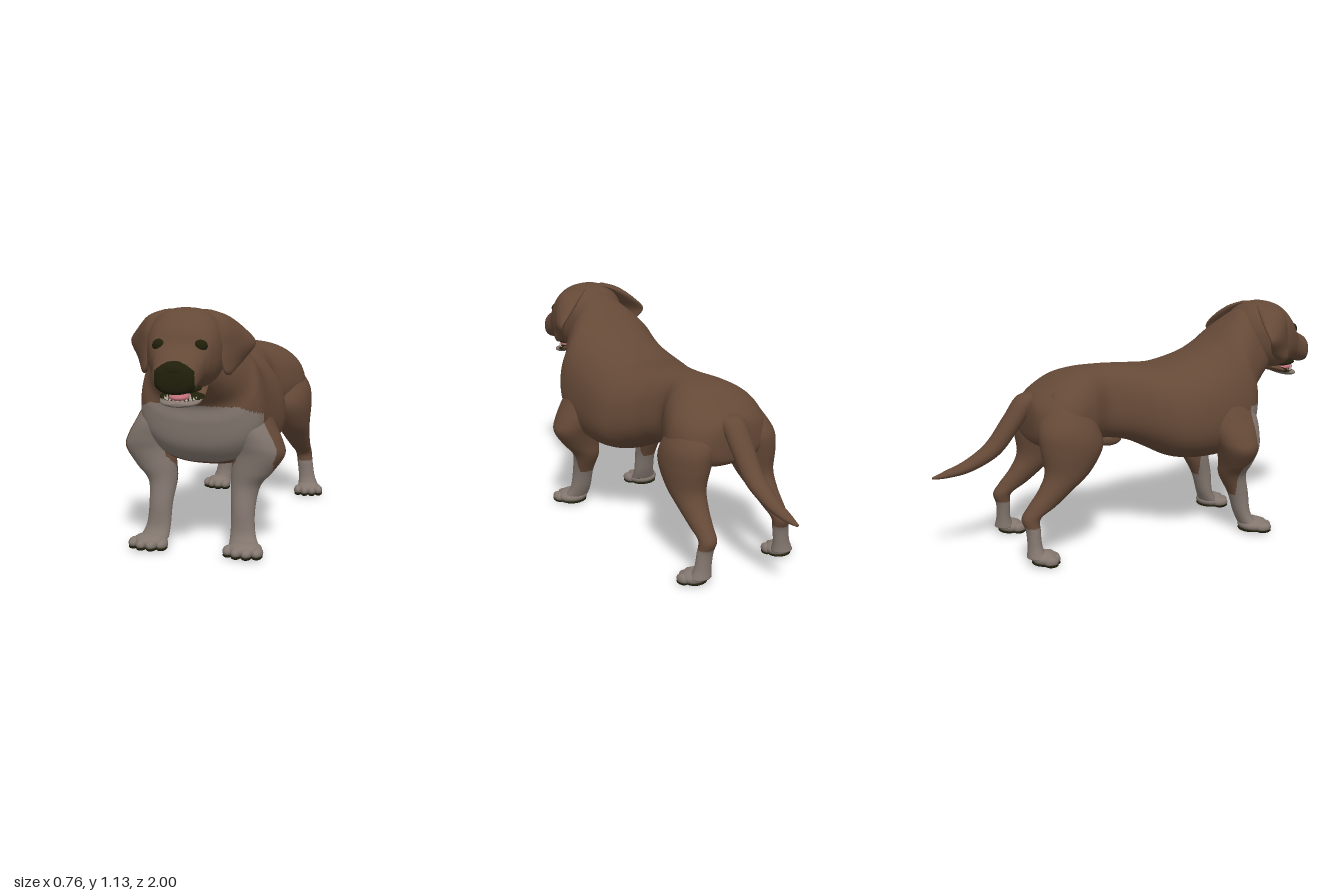
import * as THREE from 'three';

const paint = (name, color) => {
  const m = new THREE.MeshStandardMaterial({ color });
  m.name = name;
  return m;
};

// Smoothly interpolated rows of numbers
function smoothRows(rows, sub) {
  const out = [], last = rows.length - 1;
  for (let i = 0; i < last; i++) {
    const a = rows[Math.max(i - 1, 0)], b = rows[i], c = rows[i + 1], d = rows[Math.min(i + 2, last)];
    for (let s = 0; s < sub; s++) {
      const t = s / sub;
      out.push(b.map((v, k) => v + 0.5 * t * (c[k] - a[k] + t * (2 * a[k] - 5 * v + 4 * c[k] - d[k] + t * (3 * (v - c[k]) + d[k] - a[k])))));
    }
  }
  out.push(rows[last]);
  return out;
}

// Closed skin over rings; each row is [centre xyz, half axis xyz, half axis xyz]; egg narrows the ring's upper side
function loft(name, rows, mats, pick = () => 0, { n = 36, sub = 6, power = 2, egg = 0 } = {}) {
  const rings = smoothRows(rows, sub), pos = [], tris = [];
  const bend = (v) => Math.sign(v) * Math.abs(v) ** (2 / power);
  for (const r of rings) for (let j = 0; j < n; j++) {
    const s = bend(Math.sin(j / n * 2 * Math.PI)), c = bend(Math.cos(j / n * 2 * Math.PI)) * (1 - egg * s);
    for (let k = 0; k < 3; k++) pos.push(r[k] + r[3 + k] * c + r[6 + k] * s);
  }
  const end = rings.length - 1, first = rings.length * n;
  pos.push(...rings[0].slice(0, 3), ...rings[end].slice(0, 3));
  for (let j = 0; j < n; j++) {
    const q = (j + 1) % n;
    for (let i = 0; i < end; i++) {
      const a = i * n + j, b = i * n + q;
      tris.push([a, b, b + n], [a, b + n, a + n]);
    }
    tris.push([first, q, j], [first + 1, end * n + j, end * n + q]);
  }
  const at = (i) => new THREE.Vector3().fromArray(pos, i * 3);
  // Turn the skin outward whichever way the rings run
  const volume = tris.reduce((v, t) => v + at(t[0]).dot(at(t[1]).cross(at(t[2]))), 0);
  const lists = mats.map(() => []);
  for (const [a, b, c] of tris) {
    const mid = at(a).add(at(b)).add(at(c)).divideScalar(3);
    lists[pick(mid)].push(...(volume < 0 ? [a, c, b] : [a, b, c]));
  }
  const g = new THREE.BufferGeometry();
  g.setAttribute('position', new THREE.Float32BufferAttribute(pos, 3));
  g.setIndex(lists.flat());
  let start = 0;
  lists.forEach((l, i) => { g.addGroup(start, l.length, i); start += l.length; });
  g.computeVertexNormals();
  const mesh = new THREE.Mesh(g, mats);
  mesh.name = name;
  return mesh;
}

// Row makers: ring between a top and a bottom point, upright ring, level ring
const span = ([ty, tz, by, bz, rx]) => [0.01, (ty + by) / 2, (tz + bz) / 2, rx, 0, 0, 0, (ty - by) / 2, (tz - bz) / 2];
const across = ([z, top, bottom, rx]) => [0, (top + bottom) / 2, z, rx, 0, 0, 0, (top - bottom) / 2, 0];
const level = (side) => ([x, y, z, rx, rz]) => [x * side, y, z, rx, 0, 0, 0, 0, rz];

function blob(name, mat, [x, y, z], [rx, ry, rz]) {
  const m = new THREE.Mesh(new THREE.SphereGeometry(1, 24, 16), mat);
  m.name = name;
  m.position.set(x, y, z);
  m.scale.set(rx, ry, rz);
  return m;
}

export function createModel() {
  const brown = paint('brown coat', 0x654937), pale = paint('pale coat', 0x83776f);
  const dark = paint('dark skin', 0x201f0b), pink = paint('tongue pink', 0xc0707a), ivory = paint('teeth ivory', 0xb5aca0);
  const coat = [brown, pale];
  const dog = new THREE.Group();
  dog.name = 'dog';

  // Torso flowing into the neck, with pale chest; rows are [top y, top z, bottom y, bottom z, half width]
  const onChest = (p) => p.z > 0.515 && p.y > 0.41 && p.y < 0.685 - Math.max(0, Math.abs(p.x) - 0.21) * 0.4;
  dog.add(loft('torsoAndNeck', [
    [0.67, -0.55, 0.6, -0.55, 0.05], [0.735, -0.535, 0.54, -0.54, 0.15], [0.785, -0.48, 0.51, -0.49, 0.225], [0.842, -0.38, 0.5, -0.38, 0.255],
    [0.866, -0.28, 0.51, -0.28, 0.22], [0.873, -0.17, 0.515, -0.17, 0.156], [0.868, -0.05, 0.495, -0.05, 0.182], [0.86, 0.05, 0.45, 0.05, 0.24],
    [0.857, 0.13, 0.4, 0.15, 0.288], [0.868, 0.2, 0.38, 0.25, 0.302], [0.888, 0.275, 0.376, 0.35, 0.3], [0.91, 0.335, 0.385, 0.44, 0.296],
    [0.935, 0.38, 0.415, 0.525, 0.292], [0.96, 0.42, 0.49, 0.59, 0.285], [0.987, 0.455, 0.6, 0.612, 0.267],
    [1.02, 0.495, 0.68, 0.615, 0.232], [1.055, 0.54, 0.735, 0.667, 0.19], [1.083, 0.58, 0.78, 0.722, 0.15], [1.1, 0.64, 0.81, 0.75, 0.125],
  ].map(span), coat, (p) => (onChest(p) ? 1 : 0), { n: 120, sub: 12, power: 2.4, egg: 0.1 }));

  dog.add(blob('bellySheath', brown, [0, 0.495, -0.12], [0.026, 0.032, 0.065]));

  // Tail sweeping down and back; rows are [x, y, z, half width, half depth, tilt]
  dog.add(loft('tail', [
    [0.02, 0.735, -0.45, 0.05, 0.03, -0.6], [0.025, 0.72, -0.535, 0.06, 0.048, -0.85], [0.028, 0.625, -0.61, 0.056, 0.046, -0.95],
    [0.03, 0.505, -0.705, 0.048, 0.042, -0.8], [0.03, 0.435, -0.825, 0.037, 0.03, -0.4],
    [0.032, 0.405, -0.93, 0.025, 0.018, -0.2], [0.033, 0.393, -1, 0.008, 0.005, -0.1],
  ].map(([x, y, z, rx, r, a]) => [x, y, z, rx, 0, 0, 0, r * Math.cos(a), r * Math.sin(a)]), [brown], undefined, { n: 24 }));

  // Paw with four toes and dark pads
  const makePaw = (name, size) => {
    const paw = new THREE.Group();
    paw.name = name;
    paw.add(blob('pawTop', pale, [0, 0.034, -0.005], [0.082, 0.034, 0.075]));
    paw.add(blob('mainPad', dark, [0, 0.014, -0.012], [0.074, 0.014, 0.068]));
    for (const dx of [-0.068, -0.024, 0.024, 0.068]) {
      const z = 0.054 - Math.abs(dx) * 0.45;
      paw.add(blob('toe', pale, [dx, 0.029, z], [0.027, 0.024, 0.042]));
      paw.add(blob('toePad', dark, [dx, 0.013, z + 0.002], [0.025, 0.013, 0.039]));
    }
    paw.scale.set(size, 1, size);
    return paw;
  };

  for (const side of [1, -1]) {
    const tag = side > 0 ? 'left' : 'right';
    // Front leg, pale on its front and below
    dog.add(loft(tag + 'FrontLeg', [
      [0.16, 0.78, 0.42, 0.05, 0.06], [0.19, 0.69, 0.43, 0.08, 0.1], [0.222, 0.6, 0.44, 0.095, 0.13], [0.256, 0.51, 0.45, 0.11, 0.115],
      [0.262, 0.45, 0.455, 0.117, 0.097], [0.23, 0.37, 0.46, 0.096, 0.08], [0.2, 0.3, 0.463, 0.068, 0.069],
      [0.198, 0.2, 0.497, 0.055, 0.051], [0.203, 0.1, 0.518, 0.057, 0.04], [0.215, 0.045, 0.545, 0.068, 0.045],
    ].map(level(side)), coat,
    (p) => (p.y < 0.2 || onChest(p) || (p.y < 0.42 && p.z > 0.46 + Math.max(0, p.y - 0.36) * 0.9) ? 1 : 0), { n: 64, sub: 12 }));
    const front = makePaw(tag + 'FrontPaw', 0.98);
    front.position.set(0.226 * side, 0, 0.575);
    dog.add(front);

    // Hind leg with heavy thigh and bent hock
    dog.add(loft(tag + 'HindLeg', [
      [0.12, 0.78, -0.4, 0.05, 0.06], [0.14, 0.71, -0.4, 0.09, 0.1], [0.17, 0.62, -0.4, 0.116, 0.145], [0.19, 0.53, -0.39, 0.108, 0.152],
      [0.2, 0.42, -0.415, 0.086, 0.112], [0.206, 0.34, -0.478, 0.066, 0.085], [0.212, 0.27, -0.55, 0.049, 0.07],
      [0.216, 0.22, -0.605, 0.042, 0.046], [0.225, 0.16, -0.6, 0.041, 0.034], [0.235, 0.09, -0.597, 0.043, 0.034],
      [0.245, 0.04, -0.59, 0.055, 0.048],
    ].map(level(side)), coat, (p) => (p.y < 0.18 ? 1 : 0), { n: 40, sub: 8 }));
    const hind = makePaw(tag + 'HindPaw', 0.8);
    hind.position.set(0.254 * side, 0, -0.553);
    hind.rotation.y = 0.2 * side;
    dog.add(hind);
  }

  // Head, turned a little to its left
  const turn = new THREE.Group(), head = new THREE.Group();
  turn.name = 'headTurn';
  head.name = 'head';
  turn.position.z = 0.62;
  turn.rotation.y = 0.13;
  head.position.z = -0.62;
  turn.add(head);
  dog.add(turn);

  head.add(loft('skullAndMuzzle', [
    [0.56, 1.02, 0.93, 0.05], [0.58, 1.06, 0.88, 0.11], [0.635, 1.11, 0.82, 0.155], [0.72, 1.13, 0.785, 0.168],
    [0.8, 1.11, 0.79, 0.158], [0.86, 1.055, 0.81, 0.132], [0.89, 1.0, 0.815, 0.115], [0.925, 0.965, 0.806, 0.105],
    [0.965, 0.943, 0.797, 0.096], [0.985, 0.93, 0.8, 0.082], [0.998, 0.908, 0.815, 0.06], [1.003, 0.88, 0.85, 0.025],
  ].map(across), [brown, dark],
  (p) => (p.z > 0.966 && p.y < 0.938 - p.x * p.x * 6 && Math.abs(p.x) < 0.084 ? 1 : 0), { n: 64, sub: 8, power: 2.4 }));
  head.add(blob('noseTip', dark, [0, 0.9, 0.968], [0.066, 0.033, 0.036]));

  // Open mouth, the jaw edged with a dark lip
  head.add(loft('lowerJaw', [
    [0.7, 0.83, 0.785, 0.09], [0.79, 0.8, 0.765, 0.098], [0.87, 0.772, 0.735, 0.088], [0.915, 0.764, 0.732, 0.068],
    [0.937, 0.753, 0.74, 0.028],
  ].map(across), [pale, brown, dark], (p) => (p.z < 0.82 ? 1 : p.y > 0.761 ? 2 : 0), { n: 36, sub: 8 }));
  head.add(blob('mouthInside', dark, [0, 0.805, 0.85], [0.088, 0.02, 0.085]));
  head.add(blob('tongue', pink, [0, 0.774, 0.878], [0.046, 0.02, 0.06]));
  for (let i = 0; i < 11; i++) {
    const a = (i / 10 - 0.5) * 2.6, tall = i === 2 || i === 8 ? 0.03 : 0.012;
    const tooth = new THREE.Mesh(new THREE.ConeGeometry(0.007, tall, 8), ivory);
    tooth.name = 'tooth';
    tooth.position.set(Math.sin(a) * 0.07, 0.761 + tall / 2, 0.845 + Math.cos(a) * 0.075);
    head.add(tooth);
  }

  // Eyes and hanging ears; ear rows are [y, front x, front z, back x, back z, half thickness]
  for (const side of [1, -1]) {
    const tag = side > 0 ? 'left' : 'right';
    head.add(blob(tag + 'Eye', dark, [0.084 * side, 0.985, 0.868], [0.034, 0.029, 0.023]));
    head.add(loft(tag + 'Ear', [
      [1.117, 0.075, 0.72, 0.08, 0.66, 0.03], [1.09, 0.12, 0.752, 0.145, 0.625, 0.04], [1.035, 0.145, 0.772, 0.218, 0.592, 0.034],
      [0.97, 0.155, 0.778, 0.275, 0.585, 0.02], [0.905, 0.163, 0.782, 0.235, 0.625, 0.016],
      [0.865, 0.172, 0.775, 0.2, 0.68, 0.015], [0.848, 0.18, 0.75, 0.187, 0.72, 0.008],
    ].map(([y, fx, fz, bx, bz, t]) => [
      side * (fx + bx) / 2, y, (fz + bz) / 2, side * (fx - bx) / 2, 0, (fz - bz) / 2, t * side, 0, t / 2,
    ]), [brown], undefined, { n: 32 }));
  }
  return dog;
}
